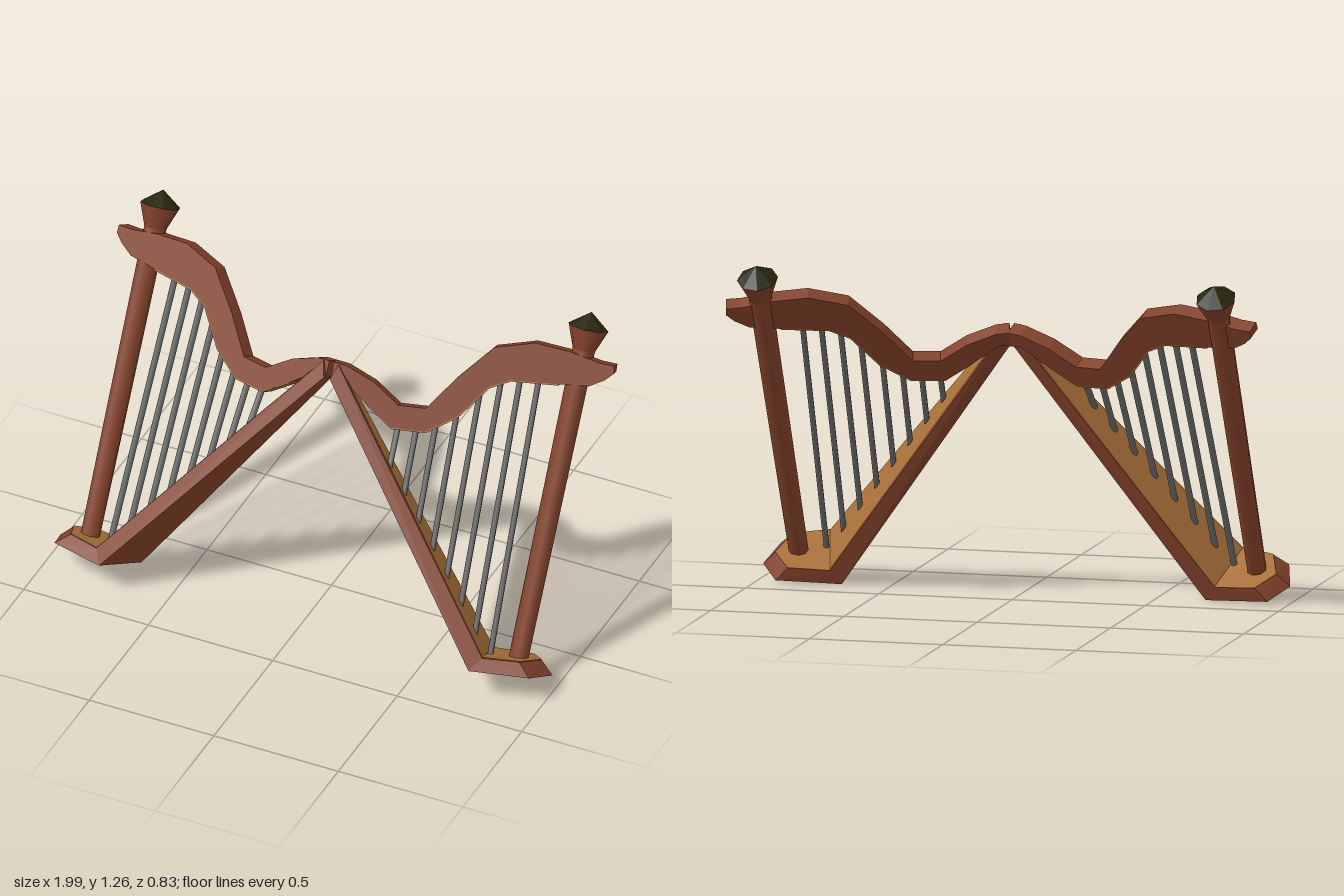
import * as THREE from 'three';
import { ConvexGeometry } from 'three/addons/geometries/ConvexGeometry.js';

const material = (name, color, side = THREE.FrontSide) => {
  const m = new THREE.MeshStandardMaterial({ color, side });
  m.name = name;
  return m;
};
const V = (u, v, n) => new THREE.Vector3(u, v, n);

// Neck outline: upper edge going outwards, tip, then lower edge coming back
const UPPER = [[0, 0.018], [0.05, 0.016], [0.16, -0.02], [0.264, -0.082], [0.364, -0.07], [0.452, 0.065],
  [0.565, 0.209], [0.708, 0.26], [0.841, 0.258], [0.954, 0.243], [1.01, 0.244]];
const TIP = [[1.012, 0.215], [0.985, 0.185], [0.933, 0.15]];
const LOWER = [[0.82, 0.131], [0.647, 0.105], [0.575, 0.062], [0.483, -0.073], [0.38, -0.154],
  [0.254, -0.169], [0.15, -0.107]];
const NECK_N = 0.012;

function extrude(points, depth) {
  const shape = new THREE.Shape(points.map(([u, v]) => new THREE.Vector2(u, v)));
  const g = new THREE.ExtrudeGeometry(shape, { depth, bevelEnabled: false });
  g.translate(0, 0, NECK_N - depth / 2);
  return g;
}

// Height of the neck's lower edge at a distance u from the middle
function neckBottom(u) {
  for (let i = 0; i < LOWER.length - 1; i++) {
    const [a, va] = LOWER[i], [b, vb] = LOWER[i + 1];
    if (u <= a && u >= b) return vb + (va - vb) * (u - b) / (a - b);
  }
  return LOWER[0][1];
}

// Flat polygon as a triangle fan
function face(points) {
  const g = new THREE.BufferGeometry().setFromPoints(points);
  const index = [];
  for (let i = 1; i < points.length - 1; i++) index.push(0, i, i + 1);
  g.setIndex(index);
  g.computeVertexNormals();
  return g;
}

function rod(a, b, radius) {
  const dir = b.clone().sub(a);
  const g = new THREE.CylinderGeometry(radius, radius, dir.length(), 6);
  g.applyQuaternion(new THREE.Quaternion().setFromUnitVectors(V(0, 1, 0), dir.normalize()));
  const c = a.clone().add(b).multiplyScalar(0.5);
  return g.translate(c.x, c.y, c.z);
}

function createHarp(mats) {
  const harp = new THREE.Group();
  const add = (name, geometry, mat) => {
    const mesh = new THREE.Mesh(geometry, mat);
    mesh.name = name;
    harp.add(mesh);
    return mesh;
  };

  // Curved neck with a pale underside
  add('neck', extrude([...UPPER, ...TIP, ...LOWER, [0.042, -0.035], [0, -0.045]].reverse(), 0.06), mats.wood);
  const under = LOWER.map(([u, v]) => [u + 0.003, v - 0.005]);
  add('neckUnderside', extrude([...LOWER, ...under.reverse()], 0.058), mats.board);

  // Tapered soundbox and its pale soundboard
  add('soundbox', new ConvexGeometry([
    V(0.02, 0.013, 0.0), V(0.02, 0.013, 0.05), V(0, -0.044, 0.0), V(0, -0.044, 0.055),
    V(0.767, -0.905, -0.125), V(0.767, -0.905, 0.12), V(0.73, -0.96, -0.14), V(0.73, -0.96, 0.135),
  ]), mats.wood);
  add('soundboard', face([
    V(0.06, -0.031, 0.047), V(0.767, -0.901, 0.115), V(0.767, -0.901, -0.123), V(0.06, -0.031, 0.0),
  ]), mats.board);

  // Flared foot with a pale top
  const footTop = [[0.767, 0.12], [0.9, 0.1], [0.965, -0.01], [0.92, -0.105], [0.767, -0.125]];
  const footBottom = [[0.73, 0.135], [0.95, 0.116], [1.015, -0.01], [0.97, -0.112], [0.73, -0.14]];
  const topV = (u) => -0.905 + 0.1 * (u - 0.767);
  add('foot', new ConvexGeometry([
    ...footTop.map(([u, n]) => V(u, topV(u), n)),
    ...footBottom.map(([u, n]) => V(u, -0.96 + 0.1 * (u - 0.73), n)),
  ]), mats.wood);
  add('footTop', face(footTop.map(([u, n]) => V(u, topV(u) + 0.003, n))), mats.board);

  // Pillar, flared capital and pointed cap
  const column = (name, r0, r1, v0, v1, mat) => {
    const g = new THREE.CylinderGeometry(r1, r0, v1 - v0, 8);
    return add(name, g.translate(0.881, (v0 + v1) / 2, 0), mat);
  };
  column('pillar', 0.036, 0.042, -0.9, 0.27, mats.wood);
  column('capital', 0.042, 0.075, 0.27, 0.355, mats.wood);
  const cap = column('cap', 0.075, 0, 0.355, 0.412, mats.cap);
  cap.geometry = cap.geometry.toNonIndexed();
  cap.geometry.computeVertexNormals();

  // Strings fan slightly outwards towards the foot
  for (let i = 0; i < 8; i++) {
    const top = 0.275 + 0.067 * i, low = 0.28 + 0.0715 * i;
    add('string', rod(
      V(low, 0.032 - 1.23 * low, 0.045 - 0.004 * i),
      V(top, neckBottom(top) + 0.015, NECK_N),
      0.0115), mats.string);
  }

  // Lean back and turn outwards
  harp.rotation.set(-0.496, 0.218, 0);
  harp.position.set(0, 0.985, -0.028);
  return harp;
}

export function createModel() {
  const mats = {
    wood: material('brown wood', 0x82412a),
    board: material('pale wood', 0xa87038, THREE.DoubleSide),
    string: material('grey string', 0x686868),
    cap: material('dark olive', 0x27270f),
  };
  const model = new THREE.Group();
  model.name = 'twinHarps';
  for (const side of [1, -1]) {
    const half = new THREE.Group();
    half.name = side > 0 ? 'leftHarp' : 'rightHarp';
    half.add(createHarp(mats));
    half.scale.x = side;
    model.add(half);
  }
  return model;
}
